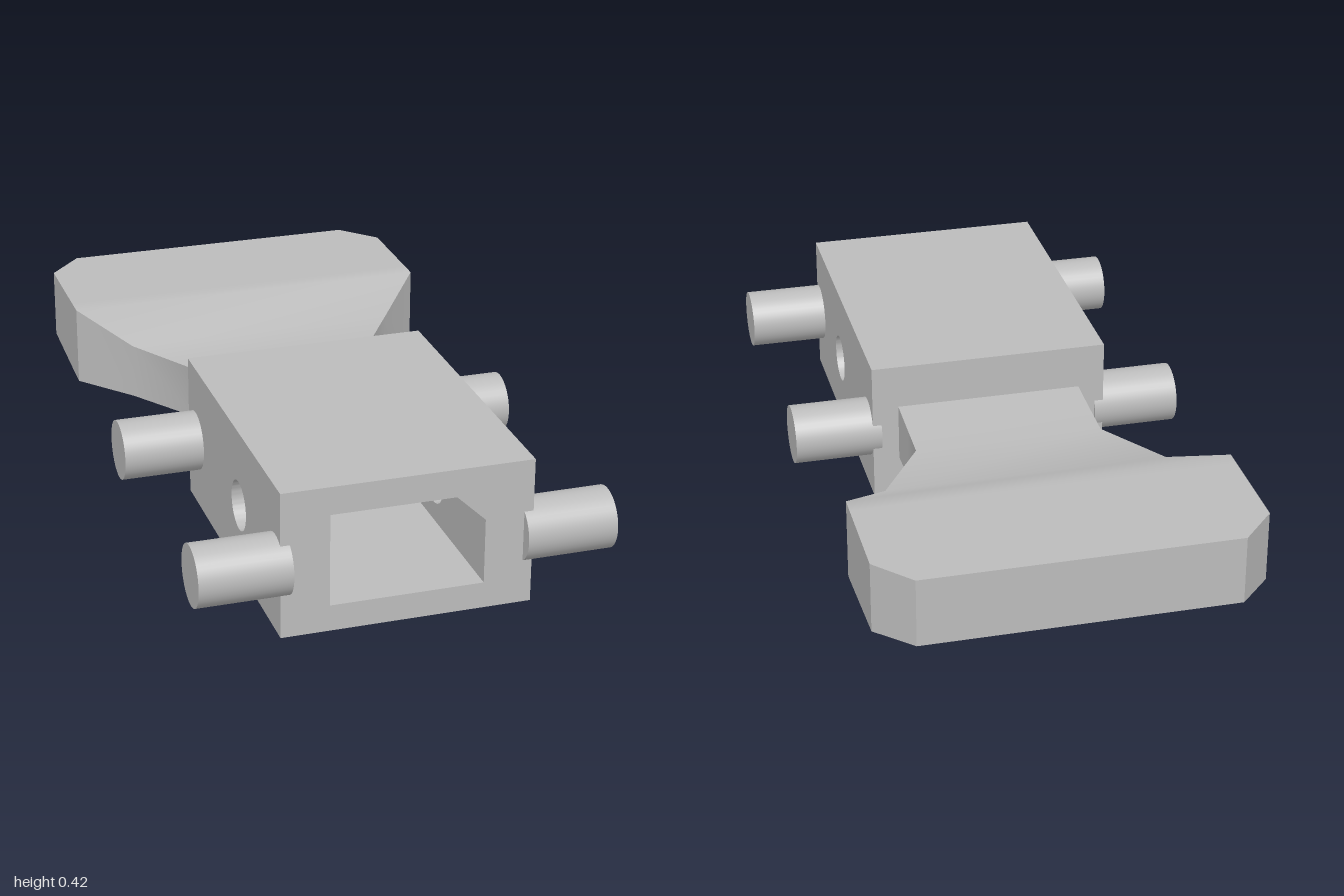
import * as THREE from 'three';
import { toCreasedNormals } from 'three/addons/utils/BufferGeometryUtils.js';

const grey = new THREE.MeshStandardMaterial({ color: 0xbcbcbc });
grey.name = 'plain grey';

// Body limits, socket limits and the height of the peg axis
const BODY = { w: 0.35, h: 0.42, back: 0.045, front: 0.96 };
const SOCKET = { w: 0.215, bottom: 0.075, top: 0.34, back: 0.2 };
const AXIS_Y = 0.197;

function add(parent, name, geometry) {
  const mesh = new THREE.Mesh(geometry, grey);
  mesh.name = name;
  parent.add(mesh);
  return mesh;
}

// Box given by its lower and upper corners
function block(x0, x1, y0, y1, z0, z1) {
  return new THREE.BoxGeometry(x1 - x0, y1 - y0, z1 - z0)
    .translate((x0 + x1) / 2, (y0 + y1) / 2, (z0 + z1) / 2);
}

// Side wall with a round cross hole, drawn in z and y
function wallGeometry(outerX) {
  const shape = new THREE.Shape();
  shape.moveTo(BODY.back, 0);
  shape.lineTo(BODY.front, 0);
  shape.lineTo(BODY.front, BODY.h);
  shape.lineTo(BODY.back, BODY.h);
  shape.closePath();
  const hole = new THREE.Path();
  hole.absarc(0.568, 0.2, 0.071, 0, Math.PI * 2, true);
  shape.holes.push(hole);
  const geometry = new THREE.ExtrudeGeometry(shape, {
    depth: BODY.w - SOCKET.w, bevelEnabled: false, curveSegments: 32,
  });
  geometry.rotateY(-Math.PI / 2).translate(outerX, 0, 0);
  return toCreasedNormals(geometry, 0.6);
}

// Rectangular sections [z, half width, bottom, top], joined from front to back
function loft(sections) {
  const rings = sections.map(([z, w, b, t]) => [[-w, b, z], [w, b, z], [w, t, z], [-w, t, z]]);
  const points = [];
  for (let i = 0; i < rings.length - 1; i++) {
    for (let k = 0; k < 4; k++) {
      const n = (k + 1) % 4;
      const a = rings[i][k], b = rings[i][n], c = rings[i + 1][k], d = rings[i + 1][n];
      points.push(a, c, b, b, c, d);
    }
  }
  const f = rings[0], e = rings[rings.length - 1];
  points.push(f[0], f[1], f[2], f[0], f[2], f[3], e[0], e[2], e[1], e[0], e[3], e[2]);
  const geometry = new THREE.BufferGeometry();
  geometry.setAttribute('position', new THREE.Float32BufferAttribute(points.flat(), 3));
  return toCreasedNormals(geometry, 0.6);
}

export function createModel() {
  const model = new THREE.Group();
  model.name = 'socketBlockWithPaddle';

  // Hollow body, open at the front
  const body = new THREE.Group();
  body.name = 'body';
  model.add(body);
  add(body, 'leftWall', wallGeometry(BODY.w));
  add(body, 'rightWall', wallGeometry(-SOCKET.w));
  add(body, 'floor', block(-SOCKET.w, SOCKET.w, 0, SOCKET.bottom, BODY.back, BODY.front));
  add(body, 'roof', block(-SOCKET.w, SOCKET.w, SOCKET.top, BODY.h, BODY.back, BODY.front));
  add(body, 'backWall', block(-SOCKET.w, SOCKET.w, SOCKET.bottom, SOCKET.top, BODY.back, SOCKET.back));

  // Wedge that cuts off one corner of the socket
  const wedge = new THREE.Shape();
  wedge.moveTo(SOCKET.w, 0.262);
  wedge.lineTo(SOCKET.w, SOCKET.top);
  wedge.lineTo(0.133, SOCKET.top);
  wedge.closePath();
  add(body, 'socketCorner', new THREE.ExtrudeGeometry(wedge, {
    depth: BODY.front - SOCKET.back, bevelEnabled: false,
  }).translate(0, 0, SOCKET.back));

  // Four round pegs
  for (const side of [-1, 1]) {
    for (const [end, z] of [['front', 0.914], ['rear', 0.122]]) {
      const peg = add(model, `${end}${side > 0 ? 'Left' : 'Right'}Peg`,
        new THREE.CylinderGeometry(0.086, 0.086, 0.255, 40).rotateZ(Math.PI / 2));
      peg.position.set(side * 0.4515, AXIS_Y, z);
    }
  }

  // Neck that flares into the raised paddle
  add(model, 'paddle', loft([
    [0.06, 0.273, 0.12, 0.291],
    [-0.08, 0.273, 0.123, 0.282],
    [-0.2, 0.273, 0.12, 0.276],
    [-0.41, 0.405, 0.115, 0.28],
    [-0.565, 0.543, 0.118, 0.354],
    [-0.62, 0.543, 0.122, 0.354],
    [-0.893, 0.543, 0.147, 0.354],
    [-1, 0.445, 0.154, 0.354],
  ]));

  return model;
}
